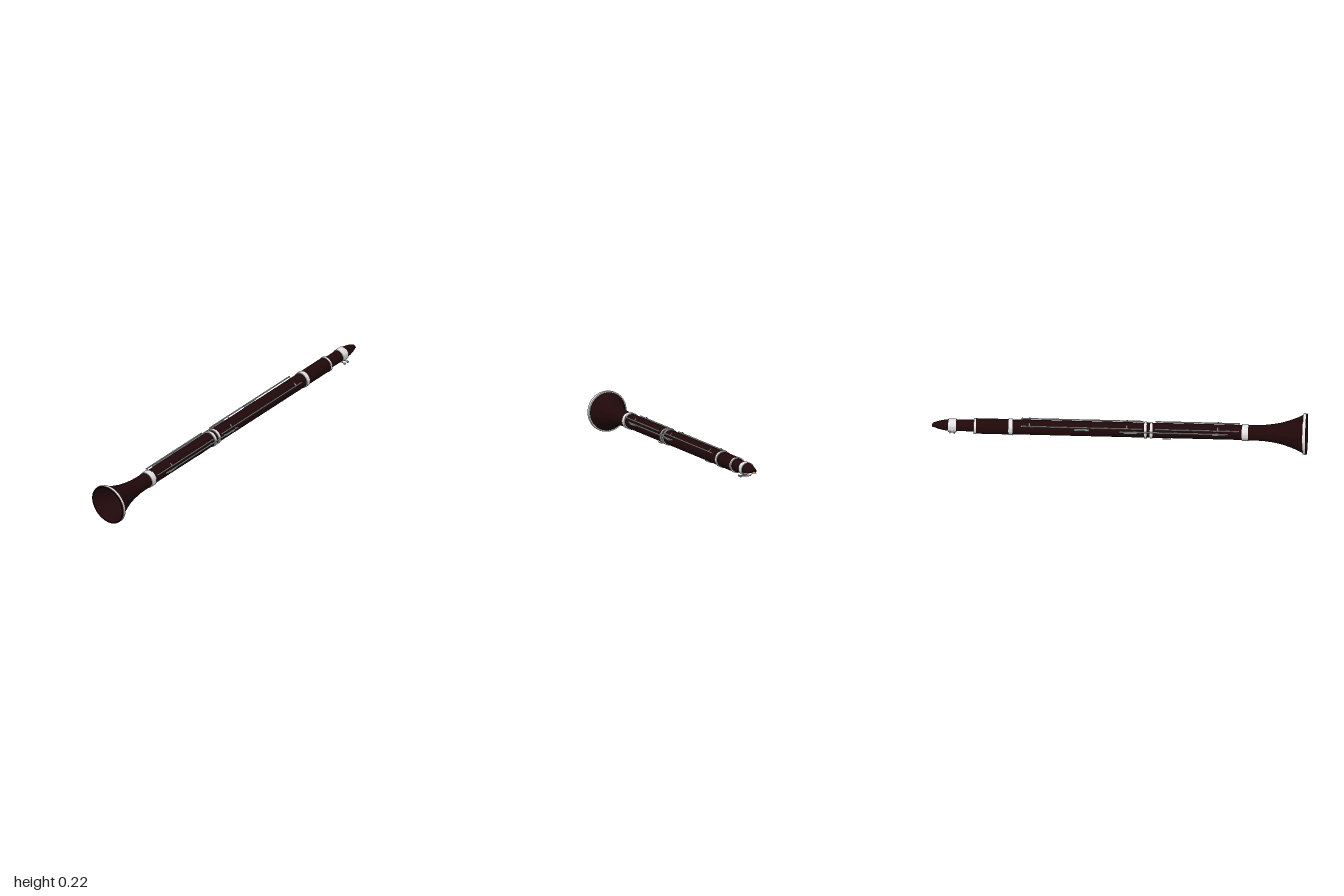
import * as THREE from 'three';
import { toCreasedNormals } from 'three/addons/utils/BufferGeometryUtils.js';

const AXIS = 0.111; // height of the bore axis
const mat = (name, color, side = THREE.FrontSide) => {
  const m = new THREE.MeshStandardMaterial({ color, side });
  m.name = name;
  return m;
};

export function createModel() {
  const root = new THREE.Group();
  root.name = 'clarinet';
  const wood = mat('dark wood', 0x200809, THREE.DoubleSide);
  const silver = mat('silver', 0xe2e2e2, THREE.DoubleSide);
  const steel = mat('key steel', 0xc4c8c8);
  const cane = mat('reed cane', 0xc8a468, THREE.DoubleSide);

  const add = (name, geo, material, x = 0, y = 0, z = 0, parent = root) => {
    const m = new THREE.Mesh(geo, material);
    m.name = name;
    m.position.set(x, y, z);
    parent.add(m);
    return m;
  };
  // Closed [radius, z] profile turned around the bore axis
  const turned = (name, profile, material) => {
    const pts = [...profile, profile[0]].map(([r, z]) => new THREE.Vector2(r, z));
    const geo = new THREE.LatheGeometry(pts, 48).rotateX(Math.PI / 2);
    return add(name, toCreasedNormals(geo, 0.5), material, 0, AXIS, 0);
  };
  const tube = (name, z0, z1, r, inner, material) =>
    turned(name, [[inner, z0], [r, z0], [r, z1], [inner, z1]], material);

  // Hollow wooden joints
  tube('barrel', -0.775, -0.572, 0.041, 0.035, wood);
  tube('upperJoint', -0.572, 0.155, 0.04, 0.035, wood);
  tube('lowerJoint', 0.155, 0.66, 0.04, 0.035, wood);

  // Flared bell, outside then inside, with a metal band behind its lip
  const flare = [[0.041, 0.66], [0.041, 0.72], [0.043, 0.77], [0.049, 0.82], [0.058, 0.865],
    [0.072, 0.91], [0.088, 0.95], [0.104, 0.982], [0.109, 0.992], [0.109, 1]];
  turned('bell', [...flare, ...flare.map(([r, z]) => [r - 0.006, z]).reverse()], wood);
  turned('bellRim', [[0.101, 0.979], [0.109, 0.979], [0.1105, 0.984], [0.1105, 0.994], [0.107, 0.994]], silver);

  // Metal bands
  for (const [z, w, r] of [[0.67, 0.034, 0.045], [0.17, 0.014, 0.045], [0.139, 0.014, 0.045],
    [-0.58, 0.022, 0.045], [-0.77, 0.012, 0.043]])
    tube('band', z - w / 2, z + w / 2, r, 0.038, silver);

  // Mouthpiece: round sections cut flat below and tapering into a beak
  // Each station: z, half width, top, flat bottom
  const stations = [[-0.77, 0.033, 0.144, 0.092], [-0.87, 0.033, 0.144, 0.092], [-0.915, 0.032, 0.143, 0.092],
    [-0.945, 0.029, 0.138, 0.096], [-0.97, 0.024, 0.131, 0.101], [-0.988, 0.018, 0.124, 0.106], [-0.998, 0.011, 0.119, 0.108]];
  const N = 24, pos = [], idx = [];
  for (const [z, w, top, bottom] of stations) {
    for (let i = 0; i < N; i++) {
      const a = -0.61 + (i / (N - 1)) * (Math.PI + 1.22);
      const t = (Math.sin(a) + 0.573) / 1.573;
      pos.push(Math.cos(a) * w, bottom + (top - bottom) * t, z);
    }
  }
  for (let s = 0; s < stations.length - 1; s++)
    for (let i = 0; i < N; i++) {
      const a = s * N + i, b = s * N + (i + 1) % N;
      idx.push(a, a + N, b, b, a + N, b + N);
    }
  const last = (stations.length - 1) * N;
  for (let i = 1; i < N - 1; i++) idx.push(0, i, i + 1, last, last + i + 1, last + i);
  const beak = new THREE.BufferGeometry();
  beak.setAttribute('position', new THREE.Float32BufferAttribute(pos, 3));
  beak.setIndex(idx.map((_, k) => idx[k - (k % 3) + [0, 2, 1][k % 3]]));
  add('mouthpiece', toCreasedNormals(beak, 0.6), wood);

  // Reed set inside the mouthpiece, showing only at the tip
  const reed = new THREE.BoxGeometry(0.038, 0.013, 0.23, 1, 1, 10);
  const rp = reed.attributes.position;
  for (let i = 0; i < rp.count; i++) {
    const z = rp.getZ(i) - 0.885;
    const k = Math.max(0, (-z - 0.92) / 0.08);
    const up = rp.getY(i) > 0;
    const drop = k > 0.8 ? -0.004 : k > 0 ? 0.003 : 0;
    rp.setXYZ(i, rp.getX(i) * (up ? 0.85 : 1) * (1 - 0.4 * k),
      0.093 + 0.0145 * k + (up ? 0.014 * (1 - 0.7 * k) : drop), z);
  }
  reed.computeVertexNormals();
  add('reed', reed, cane);

  // Ligature with two thumbscrews underneath
  tube('ligature', -0.912, -0.87, 0.037, 0.034, silver);
  const screw = new THREE.CylinderGeometry(0.003, 0.003, 0.06, 10).rotateZ(Math.PI / 2);
  const knob = new THREE.CylinderGeometry(0.006, 0.006, 0.006, 12).rotateZ(Math.PI / 2);
  for (const z of [-0.903, -0.88]) {
    add('ligatureScrew', screw, steel, 0.008, 0.075, z);
    add('screwHead', knob, steel, 0.038, 0.075, z);
    add('screwLug', new THREE.BoxGeometry(0.016, 0.008, 0.009), steel, 0, 0.076, z);
  }

  // Key work, repeated on both sides of the body
  const rodAt = (parent, name, angle, z0, z1, r, posts) => {
    const c = Math.cos(angle), s = Math.sin(angle), R = 0.051;
    add(name, new THREE.CylinderGeometry(r, r, z1 - z0, 12).rotateX(Math.PI / 2), steel,
      R * c, AXIS + R * s, (z0 + z1) / 2, parent);
    for (const z of posts) {
      const post = add('post', new THREE.CylinderGeometry(0.002, 0.002, 0.016, 8), steel,
        0.044 * c, AXIS + 0.044 * s, z, parent);
      post.rotation.z = angle - Math.PI / 2;
      add('postBall', new THREE.SphereGeometry(0.005, 10, 8), steel, R * c, AXIS + R * s, z, parent);
    }
  };
  for (const side of [1, -1]) {
    const keys = new THREE.Group();
    keys.name = side > 0 ? 'leftKeys' : 'rightKeys';
    const a = (t) => (side > 0 ? t : Math.PI - t);
    rodAt(keys, 'upperRod', a(0.58), -0.525, 0.125, 0.0038, [-0.52, -0.245, -0.02, 0.09]);
    rodAt(keys, 'lowerRod', a(0.58), 0.19, 0.64, 0.0038, [0.2, 0.42, 0.635]);
    rodAt(keys, 'sideLever', a(0.23), 0.0, 0.58, 0.004, [0.01, 0.1, 0.21, 0.57]);
    // Short arms reaching from the rods over the body
    for (const z of [-0.48, 0.04, 0.525]) {
      const arm = add('keyArm', new THREE.BoxGeometry(0.018, 0.004, 0.007), steel,
        side * 0.035, AXIS + 0.035, z, keys);
      arm.rotation.z = -side * 0.8;
    }
    // Finger touches at the ends of the side levers
    for (const z of [0.06, 0.53])
      add('touchPiece', new THREE.BoxGeometry(0.005, 0.01, 0.07), steel, side * 0.049, AXIS + 0.008, z, keys);
    root.add(keys);
  }
  add('trillTouch', new THREE.BoxGeometry(0.008, 0.008, 0.08), steel, -0.043, AXIS + 0.014, -0.2);

  // Thumb rest and register key underneath
  add('thumbRest', new THREE.BoxGeometry(0.02, 0.004, 0.045), steel, 0, 0.064, 0.252);
  add('thumbRestStem', new THREE.BoxGeometry(0.008, 0.012, 0.012), steel, 0, 0.07, 0.252);
  add('registerKey', new THREE.BoxGeometry(0.012, 0.006, 0.07), steel, 0.005, 0.07, -0.395);

  return root;
}
